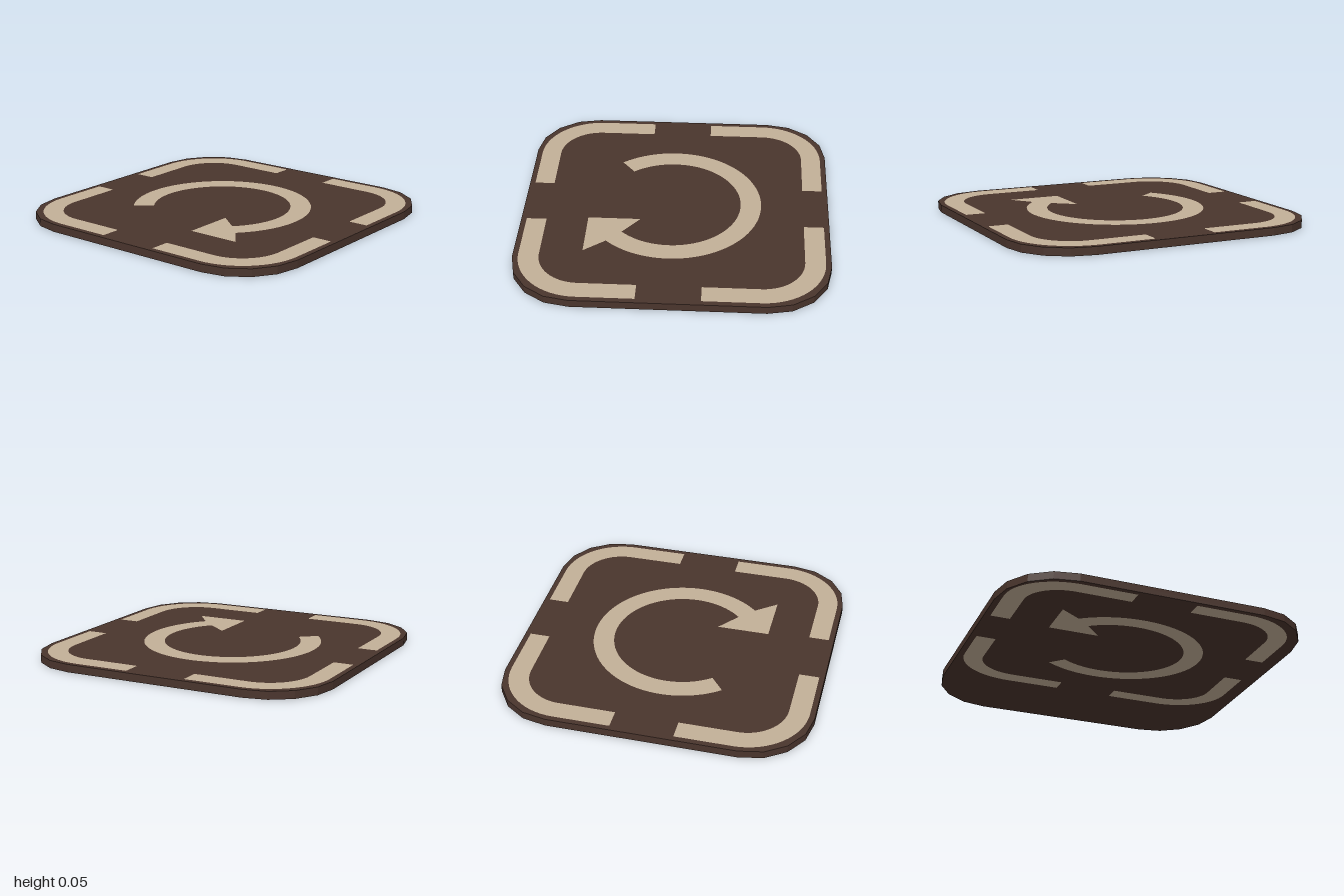
import * as THREE from 'three';

const HEIGHT = 0.05;

// Points of an arc in the ground plane, as [x, z]
function arc(cx, cz, r, from, to, steps) {
  return Array.from({ length: steps + 1 }, (_, i) => {
    const a = from + ((to - from) * i) / steps;
    return [cx + r * Math.cos(a), cz + r * Math.sin(a)];
  });
}

// Rounded square outline with four facets per corner
function plateOutline() {
  const points = [];
  [[1, 1], [-1, 1], [-1, -1], [1, -1]].forEach(([sx, sz], i) => {
    points.push(...arc(0.6 * sx, 0.6 * sz, 0.4, (i * Math.PI) / 2, ((i + 1) * Math.PI) / 2, 4));
  });
  return points;
}

// Corner bracket, mirrored by the signs
function bracketOutline(sx, sz) {
  const c = 0.565;
  return [
    [0.965, 0.2], ...arc(c, c, 0.4, 0, Math.PI / 2, 16), [0.2, 0.965],
    [0.2, 0.835], ...arc(c, c, 0.27, Math.PI / 2, 0, 16), [0.835, 0.2],
  ].map(([x, z]) => [x * sx, z * sz]);
}

// Open ring ending in an arrowhead
function arrowOutline() {
  const cx = -0.025, cz = -0.015;
  const start = Math.atan2(-0.455, -0.365), end = Math.atan2(0.425, -0.405);
  return [
    ...arc(cx, cz, 0.585, start, end, 64),
    [-0.565, 0.515], [-0.565, 0.17], [-0.225, 0.17],
    ...arc(cx, cz, 0.45, end, start, 64),
  ];
}

const toShape = (points) => new THREE.Shape(points.map(([x, y]) => new THREE.Vector2(x, y)));

export function createModel() {
  const group = new THREE.Group();
  const brown = new THREE.MeshStandardMaterial({ color: 0x4a352d });
  brown.name = 'dark brown';
  const tan = new THREE.MeshStandardMaterial({ color: 0xc3b098 });
  tan.name = 'tan';

  // Base plate
  const plate = new THREE.ExtrudeGeometry(toShape(plateOutline()), { depth: HEIGHT, bevelEnabled: false });
  plate.rotateX(-Math.PI / 2);
  const base = new THREE.Mesh(plate, brown);
  base.name = 'basePlate';
  group.add(base);

  // Painted markings on both faces
  const markings = [['arrow', arrowOutline()]];
  for (const sx of [-1, 1]) for (const sz of [-1, 1]) markings.push(['cornerBracket', bracketOutline(sx, sz)]);

  for (const [name, points] of markings) {
    const top = new THREE.ShapeGeometry(toShape(points.map(([x, z]) => [x, -z])));
    top.rotateX(-Math.PI / 2).translate(0, HEIGHT + 0.001, 0);
    const topMesh = new THREE.Mesh(top, tan);
    topMesh.name = name + 'Top';

    // The underside markings are a quarter turn round, narrowed and shifted to one side
    const bottom = new THREE.ShapeGeometry(
      toShape(points.map(([x, z]) => [-0.76 * z - 0.235, 0.965 * x - 0.03])));
    bottom.rotateX(Math.PI / 2).translate(0, -0.001, 0);
    const bottomMesh = new THREE.Mesh(bottom, tan);
    bottomMesh.name = name + 'Bottom';
    group.add(topMesh, bottomMesh);
  }
  return group;
}
